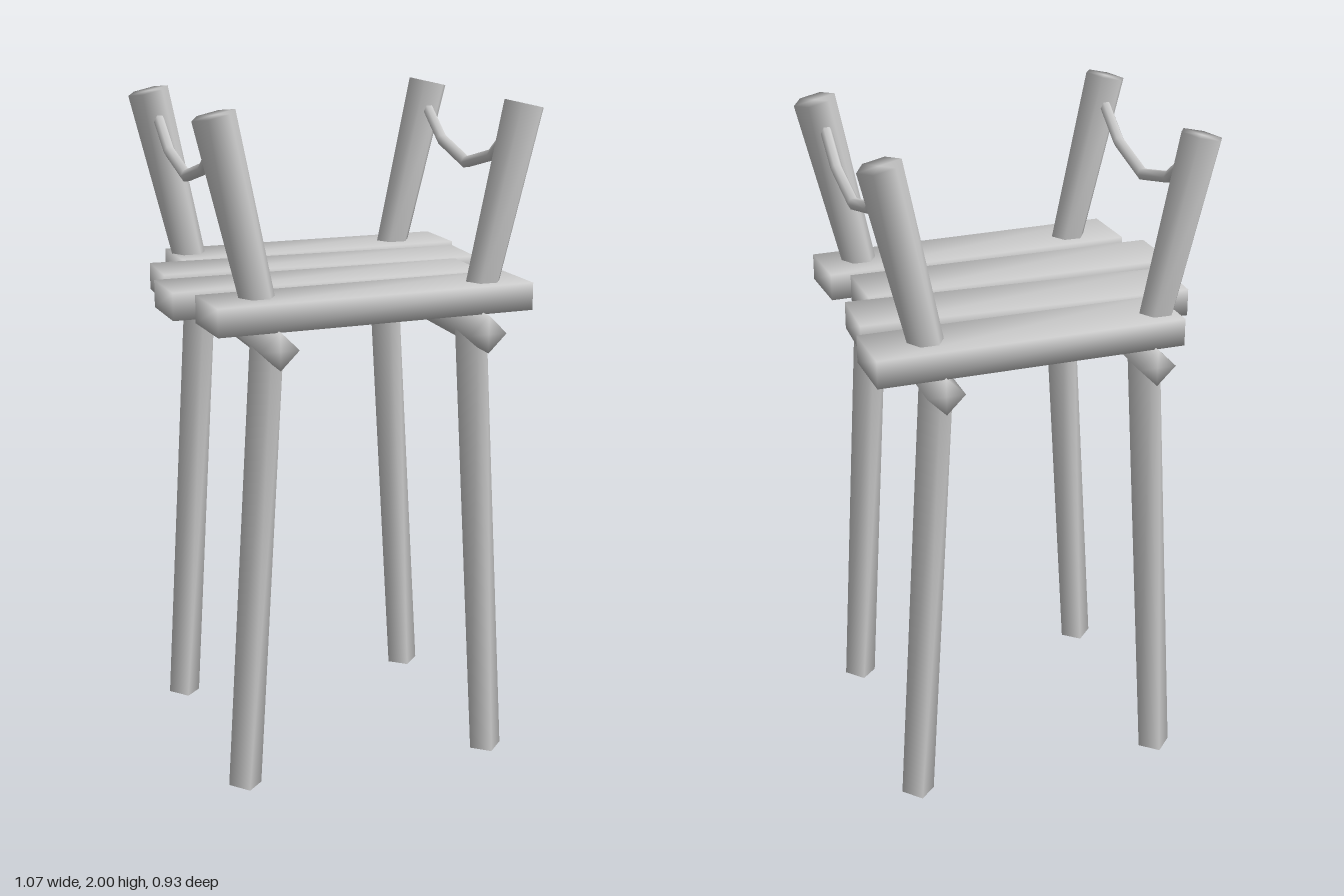
import * as THREE from 'three';
import { mergeVertices } from 'three/addons/utils/BufferGeometryUtils.js';

const material = new THREE.MeshStandardMaterial({ color: 0xcccccc });

// Share every corner so that normals blend across the whole part
function smooth(geometry) {
  geometry.deleteAttribute('uv');
  geometry.deleteAttribute('normal');
  const merged = mergeVertices(geometry);
  merged.computeVertexNormals();
  return merged;
}

function add(group, name, geometry) {
  const mesh = new THREE.Mesh(geometry, material);
  mesh.name = name;
  group.add(mesh);
  return mesh;
}

// Log between two points, with a few sides and an optional taper
function log(group, name, from, to, rFrom, rTo, sides, turn = 0) {
  const a = new THREE.Vector3(...from);
  const b = new THREE.Vector3(...to);
  const dir = b.clone().sub(a);
  const geometry = new THREE.CylinderGeometry(rTo, rFrom, dir.length(), sides);
  geometry.rotateY(turn);
  const mesh = add(group, name, smooth(geometry));
  mesh.position.copy(a).add(b).multiplyScalar(0.5);
  mesh.quaternion.setFromUnitVectors(new THREE.Vector3(0, 1, 0), dir.normalize());
}

export function createModel() {
  const group = new THREE.Group();
  group.name = 'dock';

  // Uneven deck planks: centre x, centre z, length, yaw
  const planks = [
    [0.067, -0.357, 0.9, 0.022],
    [0, -0.123, 0.98, -0.028],
    [-0.06, 0.109, 0.95, 0.018],
    [0, 0.338, 0.953, 0.045],
  ];
  for (const [x, z, length, yaw] of planks) {
    const plank = add(group, 'plank', smooth(new THREE.BoxGeometry(length, 0.08, 0.197)));
    plank.position.set(x, 1.44, z);
    plank.rotation.y = yaw;
  }

  for (const side of [-1, 1]) {
    const mid = 0.0125; // the frame sits slightly off centre
    const at = (offset) => mid + side * offset;

    // Diamond-section beam under the planks
    log(group, 'beam', [at(0.31), 1.35, -0.465], [at(0.31), 1.35, 0.465], 0.055, 0.055, 4);

    for (const [z, shift] of [[0.338, 0.003], [-0.364, -0.003]]) {
      // Splayed leg
      log(group, 'leg', [at(0.39), 0.003, z], [at(0.31), 1.35, z], 0.05, 0.05, 4);
      // Post leaning outwards and widening to the top
      log(group, 'post', [at(0.327) + shift, 1.42, z], [at(0.456) + shift, 1.982, z],
        0.05, 0.063, 6, Math.PI / 6);
    }

    // Sagging rope between the two posts
    const x = at(0.438);
    const sag = new THREE.QuadraticBezierCurve3(
      new THREE.Vector3(x, 1.93, 0.338),
      new THREE.Vector3(x, 1.612, -0.013),
      new THREE.Vector3(x, 1.93, -0.364),
    );
    add(group, 'rope', new THREE.TubeGeometry(sag, 4, 0.018, 6));
  }

  return group;
}
